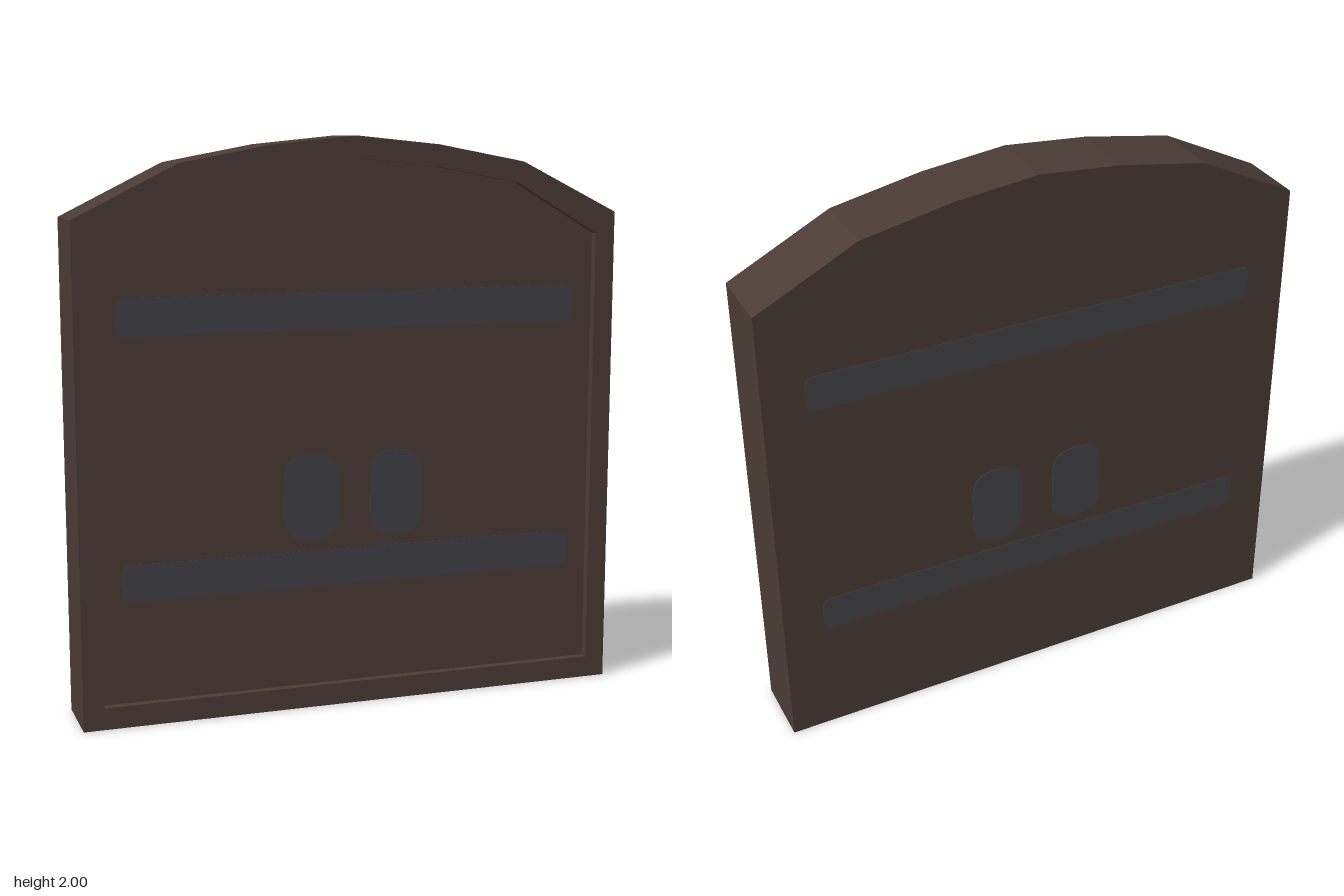
import * as THREE from 'three';

const wood = new THREE.MeshStandardMaterial({ color: 0x4a3b34 });
wood.name = 'dark wood';
const iron = new THREE.MeshStandardMaterial({ color: 0x424247 });
iron.name = 'dull iron';

const BACK = -0.125, FRONT = 0.125, RECESS = 0.095, PLATE = 0.002;

// Mirror the right half of an arched outline into a full loop
function archPoints(half) {
  const left = half.filter(([x]) => x > 0).reverse().map(([x, y]) => [-x, y]);
  return [...half, ...left].map(([x, y]) => new THREE.Vector2(x, y));
}

const outer = archPoints([[0.98, 0], [0.98, 1.73], [0.62, 1.91], [0.3, 1.97], [0, 2]]);
const inner = archPoints([[0.907, 0.077], [0.907, 1.655], [0.597, 1.838], [0.29, 1.895], [0, 1.925]]);

function slab(name, shape, material, z, depth) {
  const geometry = new THREE.ExtrudeGeometry(shape, { depth, bevelEnabled: false, curveSegments: 6 });
  const mesh = new THREE.Mesh(geometry, material);
  mesh.name = name;
  mesh.position.z = z;
  return mesh;
}

// Rectangle with rounded corners, centred on (cx, cy)
function roundedRect(cx, cy, w, h, r) {
  const x0 = cx - w / 2, x1 = cx + w / 2, y0 = cy - h / 2, y1 = cy + h / 2;
  const s = new THREE.Shape();
  s.moveTo(x0 + r, y0);
  s.lineTo(x1 - r, y0);
  s.quadraticCurveTo(x1, y0, x1, y0 + r);
  s.lineTo(x1, y1 - r);
  s.quadraticCurveTo(x1, y1, x1 - r, y1);
  s.lineTo(x0 + r, y1);
  s.quadraticCurveTo(x0, y1, x0, y1 - r);
  s.lineTo(x0, y0 + r);
  s.quadraticCurveTo(x0, y0, x0 + r, y0);
  return s;
}

export function createModel() {
  const door = new THREE.Group();
  door.name = 'archedDoor';

  // Solid door leaf, flat at the back
  const back = BACK + PLATE;
  door.add(slab('doorPanel', new THREE.Shape(outer), wood, back, RECESS - back));

  // Raised rim around the recessed front
  const rim = new THREE.Shape(outer);
  rim.holes.push(new THREE.Path(inner));
  door.add(slab('frontRim', rim, wood, RECESS, FRONT - RECESS));

  // Iron straps and handle plates on both faces
  for (const [side, z] of [['front', RECESS], ['back', BACK]]) {
    for (const [place, y] of [['upper', 1.405], ['lower', 0.497]]) {
      door.add(slab(`${side} ${place} strap`, roundedRect(0, y, 1.665, 0.13, 0.035), iron, z, PLATE));
    }
    for (const [place, x] of [['left', 0.157], ['right', -0.157]]) {
      door.add(slab(`${side} ${place} handle plate`, roundedRect(x, 0.753, 0.195, 0.305, 0.085), iron, z, PLATE));
    }
  }
  return door;
}
